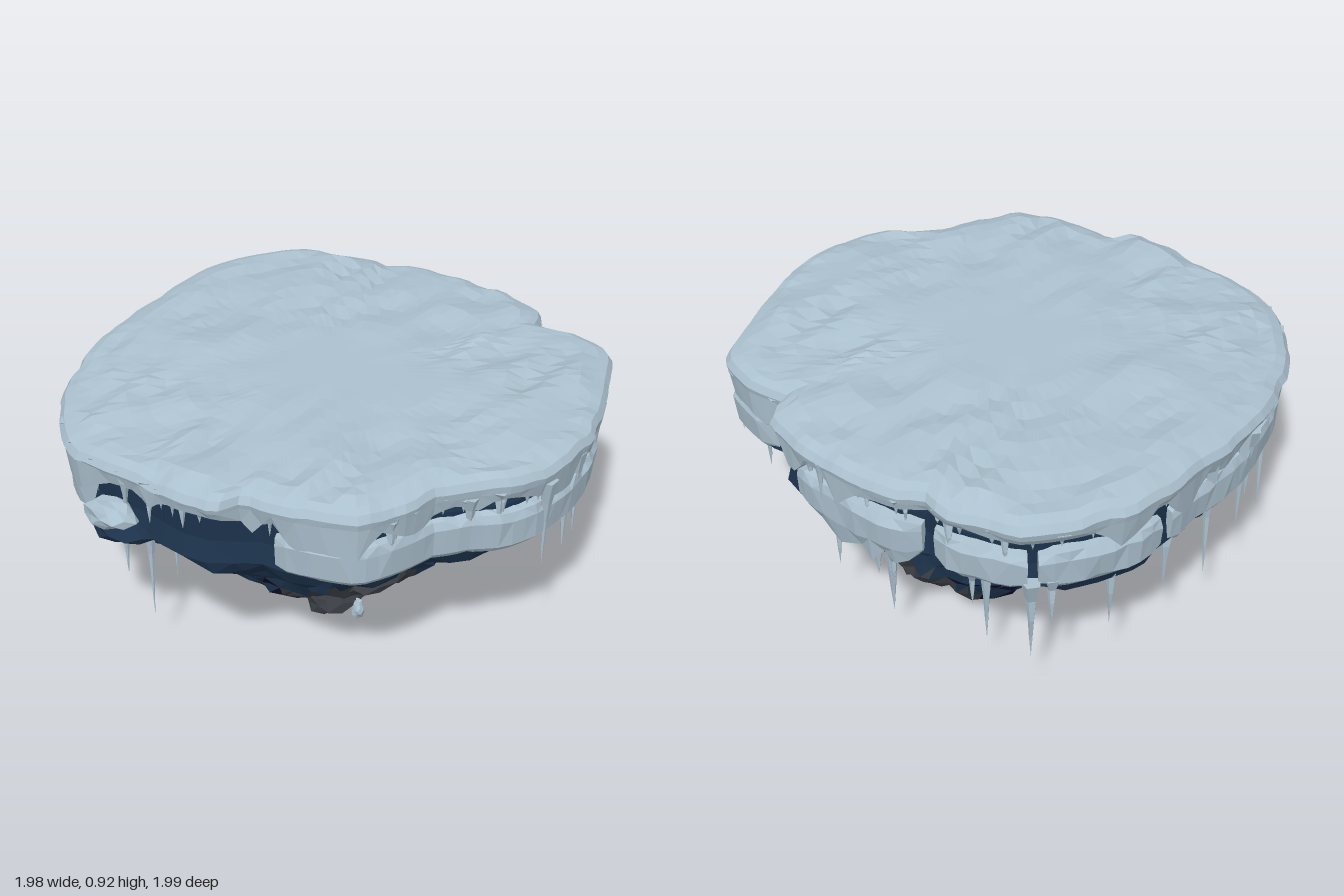
import * as THREE from 'three';
import { mergeGeometries } from 'three/addons/utils/BufferGeometryUtils.js';

const mat = (name, color) => {
  const m = new THREE.MeshStandardMaterial({ color });
  m.name = name;
  return m;
};
const hash = (a, b = 0) => {
  const s = Math.sin(a * 127.1 + b * 311.7 + 4.3) * 43758.5453;
  return s - Math.floor(s);
};
const jit = (a, b) => hash(a, b) - 0.5;
const RAD = Math.PI / 180;

// Smooth value noise in -0.5..0.5
function noise(x, z) {
  const i = Math.floor(x), j = Math.floor(z), u = x - i, v = z - j;
  const mix = (a, b, t) => a + (b - a) * t;
  return mix(mix(jit(i, j), jit(i + 1, j), u), mix(jit(i, j + 1), jit(i + 1, j + 1), u), v);
}

// Plan outline of the island as x, z pairs
const outline = [
  [0.985, 0], [0.97, 0.2], [0.92, 0.345], [0.815, 0.365], [0.85, 0.55], [0.8, 0.72], [0.62, 0.82],
  [0.45, 0.9], [0.25, 0.97], [0.1, 0.99], [-0.1, 0.97], [-0.22, 0.92], [-0.3, 0.83], [-0.42, 0.74],
  [-0.6, 0.69], [-0.72, 0.63], [-0.79, 0.45], [-0.83, 0.21], [-0.92, 0.17], [-0.955, 0],
  [-0.93, -0.2], [-0.93, -0.5], [-0.8, -0.68], [-0.6, -0.83], [-0.3, -0.95], [-0.2, -0.97],
  [0.1, -0.98], [0.4, -0.985], [0.56, -0.93], [0.7, -0.85], [0.8, -0.77], [0.85, -0.64],
  [0.9, -0.5], [0.88, -0.4], [0.95, -0.32], [0.98, -0.15],
].map(([x, z]) => ({ a: (Math.atan2(z, x) + 2 * Math.PI) % (2 * Math.PI), r: Math.hypot(x, z) }));

// Outline radius at an angle
function radius(t) {
  t = ((t % (2 * Math.PI)) + 2 * Math.PI) % (2 * Math.PI);
  for (let i = 0; i < outline.length; i++) {
    const p = outline[i], q = outline[(i + 1) % outline.length];
    const end = i === outline.length - 1 ? 2 * Math.PI : q.a;
    if (t >= p.a && t <= end) return p.r + (q.r - p.r) * (t - p.a) / (end - p.a);
  }
  return outline[0].r;
}

// Faceted skin over closed rings; pick() gives each triangle a material slot
function skin(rings, pick = () => 0) {
  const slots = [];
  const tri = (i, j, half, ...corners) => {
    const k = pick(corners, i, j, half);
    (slots[k] ||= []).push(...corners.flat());
  };
  for (let i = 0; i < rings.length - 1; i++) {
    const n = rings[i].length;
    for (let j = 0; j < n; j++) {
      const a = rings[i][j], b = rings[i][(j + 1) % n], c = rings[i + 1][(j + 1) % n], d = rings[i + 1][j];
      if ((i + j) % 2) { tri(i, j, 0, a, b, c); tri(i, j, 1, a, c, d); }
      else { tri(i, j, 0, a, b, d); tri(i, j, 1, b, c, d); }
    }
  }
  const geo = new THREE.BufferGeometry();
  let start = 0;
  slots.forEach((s, k) => { geo.addGroup(start, s.length / 3, k); start += s.length / 3; });
  geo.setAttribute('position', new THREE.Float32BufferAttribute(slots.filter(Boolean).flat(), 3));
  geo.computeVertexNormals();
  return geo;
}

// Snow cap: rippled top sinking to the back right, rounded rim and ragged drip edge
function capGeometry() {
  const N = 132;
  const rows = [0.001, 0.14, 0.24, 0.32, 0.4, 0.48, 0.55, 0.62, 0.69, 0.76, 0.83, 0.89].map((s) => [s, 0.9]);
  const rim = rows.length;
  rows.push([0.945, 0.892], [0.982, 0.878], [1, 0.85], [0.994, 0.82], [0.98, 0.8], [0.94, 0.8], [0.85, 0.81]);
  return skin(rows.map(([s, y], i) => Array.from({ length: N }, (_, j) => {
    const t = j / N * 2 * Math.PI;
    const g = Math.floor(j / 2);
    const k = s + (i >= rim && i < rim + 4 ? jit(g, 3) * 0.014 : 0);
    const r = radius(t) * k, x = r * Math.cos(t), z = r * Math.sin(t);
    let h = y;
    if (i < rim) h += noise(x * 6 + 20, z * 13 + 40) * 0.05 * Math.min(1, Math.max(0, s * 2.2 - 0.3));
    else if (i < rim + 3) h += jit(g, 5) * 0.012;
    else if (i === rim + 4 || i === rim + 5) h -= 0.11 * Math.max(0, 0.55 + noise(j * 0.55, 7)) ** 2;
    const sink = 0.02 * x * x + 0.055 * Math.max(0, (-x - z) * 0.707 - 0.25) ** 1.5;
    return [x, h - sink * (i < rim + 3 ? 1 : 0.5), z];
  })));
}

// Rock: layered rings of [y, centre x, x scale, z scale]
function rockGeometry() {
  const N = 60;
  const rows = [[0.83, 0, 0.9, 0.9], [0.74, 0, 0.935, 0.935], [0.65, 0, 0.935, 0.935], [0.57, 0, 0.955, 0.955],
    [0.52, 0, 0.91, 0.9], [0.46, 0, 0.83, 0.8], [0.42, 0, 0.77, 0.72], [0.37, 0, 0.7, 0.65],
    [0.33, 0.02, 0.65, 0.58], [0.28, 0.04, 0.61, 0.53], [0.23, 0.06, 0.59, 0.47], [0.18, 0.08, 0.57, 0.45],
    [0.13, 0.09, 0.55, 0.42], [0.09, 0.09, 0.5, 0.38], [0.05, 0.09, 0.41, 0.32], [0.025, 0.1, 0.28, 0.21],
    [0.003, 0.15, 0.002, 0.002]];
  const rings = rows.map(([y, cx, sx, sz], i) => Array.from({ length: N }, (_, j) => {
    const wild = i < 4 ? 0.012 : 0.08;
    const t = (j + (i > 3 ? jit(j, i) * 0.5 : 0)) / N * 2 * Math.PI;
    const low = Math.min(1, Math.max(0, (i - 7) / 3));
    const skew = 1 - 0.1 * low * Math.sin(2 * t) * Math.max(0, Math.sign(Math.sin(t)));
    const r = radius(t) * skew * (1 + wild * jit(Math.floor((j + i) / 2), i));
    const h = y + (i > 3 && i < 15 ? jit(i + 20, Math.floor(j / 2)) * 0.028 : 0);
    return [cx + r * sx * Math.cos(t), h, r * sz * Math.sin(t) - 0.02 * low];
  }));
  return skin(rings, ([a, b, c], i, j, half) => {
    const y = (a[1] + b[1] + c[1]) / 3;
    const limit = 0.15 + 0.07 * Math.sin(j * 0.33 + 1) + (a[0] < -0.1 ? 0.05 : 0);
    if (y < limit) return 1;
    return i > 3 && hash(Math.floor(j / 2) + half * 31, i + 40) > 0.88 ? 2 : 0;
  });
}

// Ice ledge block between two angles with rounded ends
function ledgeGeometry(from, to, sag, seed) {
  const n = Math.max(6, Math.round(Math.abs(to - from) / 3));
  const section = [[0.88, 0.565], [0.948, 0.56], [0.972, 0.585], [0.982, 0.69], [0.968, 0.722], [0.88, 0.732]];
  const rings = [];
  for (let i = -1; i <= n + 1; i++) {
    const u = Math.min(1, Math.max(0, i / n));
    const t = (from + (to - from) * u) * RAD;
    const end = i < 0 || i > n ? 0 : i === 0 || i === n ? 0.8 : 1;
    rings.push(section.map(([s, y], k) => {
      const low = k < 2 ? sag * (0.4 + 0.8 * hash(i, seed)) * Math.sin(Math.PI * u) : 0;
      const r = radius(t) * (0.9 + (s - 0.9 + jit(i + seed, k) * 0.012) * (end ? 0.6 + 0.4 * end : 0.4));
      const h = 0.645 + (y - low - 0.645 + jit(i, k + seed) * 0.01) * end;
      return [r * Math.cos(t), h, r * Math.sin(t)];
    }));
  }
  return skin(rings);
}

// Faceted icicle hanging from y
function icicle(x, z, y, len, r, seed = x * 7 + z) {
  const g = new THREE.ConeGeometry(r, len, 5, 4).rotateX(Math.PI).toNonIndexed();
  const p = g.attributes.position;
  for (let i = 0; i < p.count; i++) {
    const u = 0.5 - p.getY(i) / len;
    const k = 1.1 - 0.4 * Math.sin(Math.PI * u);
    const bend = jit(Math.round(u * 4), seed) * r * 0.8 * (1 - u);
    p.setXYZ(i, p.getX(i) * k + bend + x, p.getY(i) + y - len / 2, p.getZ(i) * k - bend + z);
  }
  g.computeVertexNormals();
  return g;
}

// Irregular faceted boulder
function boulder(x, y, z, sx, sy, sz) {
  const g = new THREE.IcosahedronGeometry(1, 1);
  const p = g.attributes.position;
  for (let i = 0; i < p.count; i++) {
    const a = p.getX(i), b = p.getY(i), c = p.getZ(i);
    const k = 1 + 0.14 * Math.sin(a * 5 + b * 7 + c * 4 + x * 9);
    p.setXYZ(i, x + a * k * sx, y + b * k * sy, z + c * k * sz);
  }
  g.computeVertexNormals();
  return g;
}

export function createModel() {
  const model = new THREE.Group();
  const ice = mat('pale ice', 0xabc0ce);
  const blue = mat('navy rock', 0x1c324b);
  const grey = mat('charcoal rock', 0x383c42);
  const dark = mat('dark crevice', 0x0d0c2c);
  const add = (name, geo, m) => {
    const mesh = new THREE.Mesh(geo, m);
    mesh.name = name;
    model.add(mesh);
  };

  add('snowCap', capGeometry(), ice);
  add('rockBody', rockGeometry(), [blue, grey, dark]);

  // Broken ring of ledge blocks: start angle, end angle, sag
  const blocks = [[63, 158, 0], [29, 57, 0], [-23, 11, 0.09], [-45, -26, 0.01], [-73, -47, 0.01], [-153, -76, 0.01]];
  blocks.forEach(([a, b, sag], i) => add('iceLedge', ledgeGeometry(a, b, sag, i * 13), ice));

  // Side outcrop and small lumps
  add('outcropIce', boulder(-0.93, 0.63, -0.32, 0.068, 0.055, 0.11), ice);
  add('outcropRock', boulder(-0.88, 0.56, -0.3, 0.1, 0.05, 0.14), blue);
  add('lowerBoulder', boulder(-0.2, 0.22, 0.33, 0.15, 0.05, 0.09), grey);
  add('lowerBoulder', boulder(-0.3, 0.14, 0.22, 0.13, 0.06, 0.09), grey);
  add('iceCrystal', boulder(-0.3, 0.11, 0.32, 0.025, 0.045, 0.025), ice);

  // Large icicles: x, z, top, length, radius
  const big = [
    [-0.87, -0.19, 0.56, 0.36, 0.02], [-0.91, -0.27, 0.56, 0.19, 0.02], [-0.66, -0.26, 0.46, 0.24, 0.02],
    [0.36, 0.81, 0.58, 0.36, 0.04], [0.32, 0.83, 0.58, 0.2, 0.03], [0.69, 0.64, 0.57, 0.24, 0.03],
    [0.84, 0.1, 0.56, 0.32, 0.035], [0.83, -0.17, 0.58, 0.41, 0.05], [0.86, -0.13, 0.58, 0.24, 0.05],
    [0.87, -0.22, 0.56, 0.2, 0.04], [0.72, -0.53, 0.57, 0.39, 0.035], [0.76, -0.5, 0.57, 0.22, 0.035],
    [0.73, -0.75, 0.6, 0.36, 0.035], [0.68, -0.8, 0.6, 0.22, 0.03], [0.45, -0.87, 0.58, 0.3, 0.03],
    [0.2, -0.91, 0.58, 0.26, 0.032], [0, -0.94, 0.8, 0.54, 0.035], [-0.2, -0.93, 0.8, 0.44, 0.035],
    [-0.24, -0.93, 0.8, 0.32, 0.04], [-0.4, -0.88, 0.8, 0.5, 0.03], [-0.04, 0.95, 0.81, 0.37, 0.035],
    [0.17, 0.95, 0.81, 0.35, 0.032], [0.5, 0.84, 0.81, 0.21, 0.035], [0.75, 0.71, 0.82, 0.32, 0.04],
    [0.78, 0.67, 0.82, 0.2, 0.035], [0.81, 0.3, 0.81, 0.26, 0.045], [0.965, 0.03, 0.83, 0.18, 0.022],
    [-0.29, 0.79, 0.81, 0.21, 0.035], [-0.58, 0.66, 0.81, 0.18, 0.035], [0.64, 0.6, 0.56, 0.2, 0.025],
  ];
  add('largeIcicles', mergeGeometries(big.map((b) => icicle(...b))), ice);

  // Short drips along the cap edge
  const drips = [];
  for (let i = 0; i < 80; i++) {
    const t = (i + hash(i, 1)) / 80 * 2 * Math.PI;
    const r = radius(t) * (0.95 + 0.015 * hash(i, 2));
    drips.push(icicle(r * Math.cos(t), r * Math.sin(t), 0.825, 0.08 + 0.13 * hash(i, 3) ** 2, 0.022 + 0.014 * hash(i, 4), i));
  }
  add('edgeDrips', mergeGeometries(drips), ice);
  return model;
}
